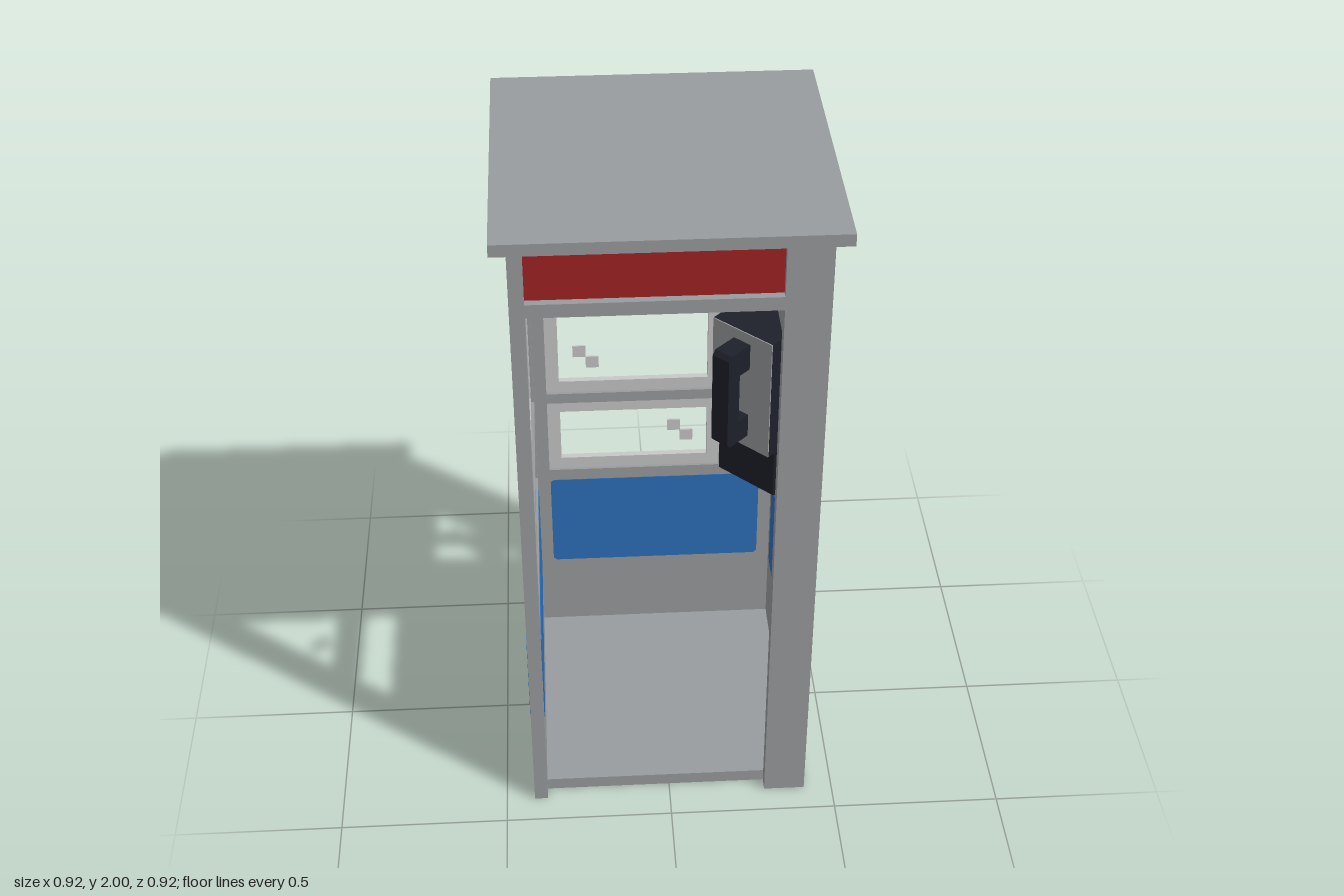
import * as THREE from 'three';

const mat = (name, color) => {
  const m = new THREE.MeshStandardMaterial({ color });
  m.name = name;
  return m;
};

export function createModel() {
  const grey = mat('boothGrey', 0x999c9e);
  const light = mat('windowFrameGrey', 0xc8c8c8);
  const red = mat('signRed', 0xa02222);
  const blue = mat('panelBlue', 0x2d6fbb);
  const black = mat('phoneBlack', 0x1e202a);

  const root = new THREE.Group();
  root.name = 'phoneBooth';

  const T = 0.04;          // wall thickness
  const OUT = 0.415;       // outer half width
  const IN = OUT - T;      // inner half width
  const TOP = 1.965;

  const add = (parent, name, geo, material) => {
    const m = new THREE.Mesh(geo, material);
    m.name = name;
    parent.add(m);
    return m;
  };
  // box given by its limits
  const box = (parent, name, material, x0, x1, y0, y1, z0, z1) => {
    const m = add(parent, name, new THREE.BoxGeometry(x1 - x0, y1 - y0, z1 - z0), material);
    m.position.set((x0 + x1) / 2, (y0 + y1) / 2, (z0 + z1) / 2);
    return m;
  };
  const poly = (pts) => new THREE.Shape(pts.map(([x, y]) => new THREE.Vector2(x, y)));
  const rect = (x0, x1, y0, y1) => [[x0, y0], [x1, y0], [x1, y1], [x0, y1]];
  const extrude = (shape, depth) => new THREE.ExtrudeGeometry(shape, { depth, bevelEnabled: false });

  // sign set back in its opening, with a grey backing towards the inside
  function sign(wall, u0, u1, outside) {
    const [r0, r1, g0, g1] = outside > 0 ? [0.01, 0.018, 0, 0.01] : [0.022, 0.03, 0.03, T];
    box(wall, 'sign', red, u0, u1, 1.795, 1.964, r0, r1);
    box(wall, 'signBacking', grey, u0, u1, 1.795, 1.964, g0, g1);
  }

  // light frame around a window opening, plus the small glints on its glass
  function windowFrame(wall, name, u0, u1, y0, y1, lowGlint) {
    const w = 0.04;
    const s = poly(rect(u0, u1, y0, y1));
    s.holes.push(poly(rect(u0 + w, u1 - w, y0 + w, y1 - w)));
    add(wall, name, extrude(s, 0.02), light).position.z = 0.01;
    const glint = (u, y) => box(wall, 'glassGlint', light, u, u + 0.04, y, y + 0.04, 0.017, 0.023);
    glint(u1 - 0.165, y1 - 0.13);
    glint(u1 - 0.125, y1 - 0.17);
    if (lowGlint) {
      glint(u0 + 0.085, y0 + 0.125);
      glint(u0 + 0.125, y0 + 0.085);
    }
  }

  // thin coloured panel with clipped corners
  function bluePanel(wall, name, u0, u1, z) {
    const c = 0.01, y0 = 0.295, y1 = 0.625, t = 0.004;
    const s = poly([[u0 + c, y0], [u1 - c, y0], [u1, y0 + c], [u1, y1 - c],
      [u1 - c, y1], [u0 + c, y1], [u0, y1 - c], [u0, y0 + c]]);
    add(wall, name, extrude(s, t), blue).position.z = z - t / 2;
  }

  // glazed wall: width along local x, thickness along local z
  function glazedWall(name, half, u0, u1, outside, inner0, inner1) {
    const wall = new THREE.Group();
    wall.name = name;
    const s = poly(rect(-half, half, 0, TOP));
    for (const [a, b] of [[0.665, 0.925], [0.96, 1.755], [1.795, 1.964]]) {
      s.holes.push(poly(rect(u0, u1, a, b)));
    }
    add(wall, 'wallBoard', extrude(s, T), grey);
    windowFrame(wall, 'upperWindowFrame', u0, u1, 0.96, 1.755, true);
    windowFrame(wall, 'lowerWindowFrame', u0, u1, 0.665, 0.925, false);
    sign(wall, u0, u1, outside > 0 ? 1 : -1);
    const zOut = outside > 0 ? T : 0;
    bluePanel(wall, 'outerBluePanel', -0.374, 0.374, zOut);
    bluePanel(wall, 'innerBluePanel', inner0, inner1, T - zOut);
    root.add(wall);
    return wall;
  }

  glazedWall('backWall', OUT, -0.337, 0.205, -1, -0.335, 0.335).position.z = -OUT;
  const left = glazedWall('leftWall', IN, -0.337, 0.205, 1, -0.37, 0.335);
  left.rotation.y = Math.PI / 2;
  left.position.x = IN;
  const right = glazedWall('rightWall', IN, -0.337, 0.337, -1, -0.37, 0.335);
  right.rotation.y = Math.PI / 2;
  right.position.x = -OUT;

  // front with the open doorway
  const front = new THREE.Group();
  front.name = 'frontWall';
  front.position.z = IN;
  root.add(front);
  const d0 = -IN, d1 = 0.292;
  const frontShape = poly([[-OUT, 0], [d0, 0], [d0, 1.755], [d1, 1.755], [d1, 0],
    [OUT, 0], [OUT, TOP], [-OUT, TOP]]);
  frontShape.holes.push(poly(rect(d0, d1, 1.795, 1.964)));
  add(front, 'doorFrame', extrude(frontShape, T), grey);
  sign(front, d0, d1, 1);

  box(root, 'floor', grey, -IN, IN, 0, 0.04, -IN, IN);
  box(root, 'roof', grey, -0.458, 0.458, TOP, 2, -0.458, 0.458);

  // telephone set diagonally into the back left corner
  const phone = new THREE.Group();
  phone.name = 'telephone';
  root.add(phone);
  // plan outline is [x, -z], stood upright
  const prism = (name, plan, y0, y1) => {
    const m = add(phone, name, extrude(poly(plan), y1 - y0), black);
    m.rotation.x = -Math.PI / 2;
    m.position.y = y0;
  };
  prism('phoneBody', [[0.178, 0.34], [0.34, 0.178], [0.374, 0.212], [0.374, 0.374], [0.212, 0.374]], 0.835, 1.25);
  prism('phoneBase', [[0.205, 0.36], [0.36, 0.205], [0.374, 0.205], [0.374, 0.374], [0.205, 0.374]], 0.665, 0.835);

  // parts facing out of the corner: local z points into the booth
  const face = new THREE.Group();
  face.name = 'phoneFront';
  face.position.set(0.259, 0, -0.259);
  face.rotation.y = -Math.PI / 4;
  phone.add(face);
  box(face, 'facePlate', grey, -0.114, 0.114, 0.836, 1.249, 0, 0.004);
  // C-shaped handset side profile: [out from the face, height]
  const profile = poly([[0.004, 0.88], [0.09, 0.88], [0.102, 0.895], [0.102, 1.2], [0.09, 1.215],
    [0.004, 1.215], [0.004, 1.127], [0.05, 1.127], [0.05, 0.958], [0.004, 0.958]]);
  const handset = add(face, 'handset', extrude(profile, 0.064), black);
  handset.rotation.y = -Math.PI / 2;
  handset.position.x = 0.032;

  return root;
}
